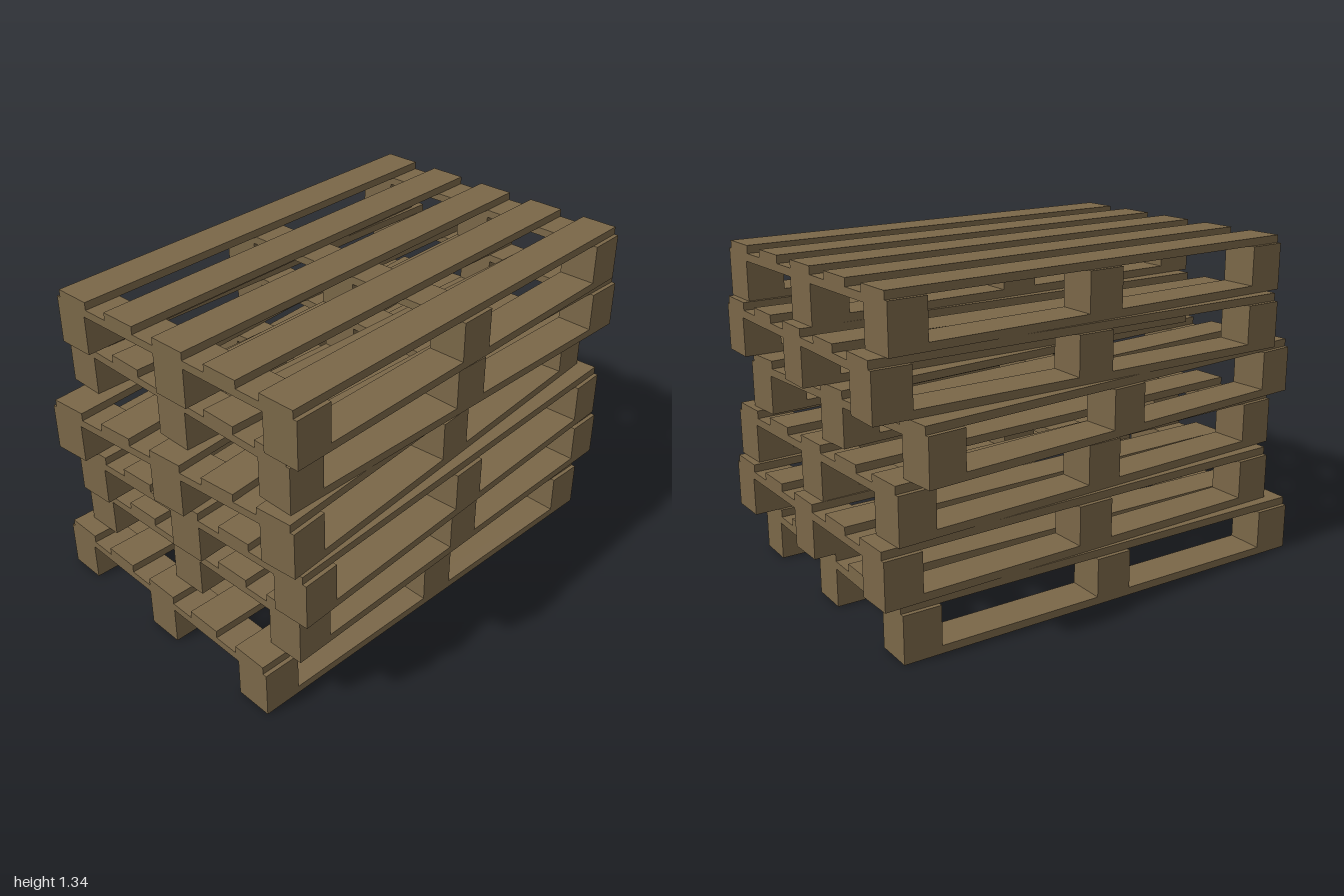
import * as THREE from 'three';

const wood = new THREE.MeshStandardMaterial({ color: 0x7a6748 });
wood.name = 'weathered wood';

const T = 0.0318;          // board thickness
const BLOCK = 0.155;       // block width and depth
const BLOCK_H = 4 * T;     // block height
const WIDTH = 1.23, LENGTH = 1.85;
const PALLET_H = 7 * T;

function box(parent, name, w, h, d, x, y, z) {
  const mesh = new THREE.Mesh(new THREE.BoxGeometry(w, h, d), wood);
  mesh.name = name;
  mesh.position.set(x, y + h / 2, z); // y is the underside
  parent.add(mesh);
}

function createPallet() {
  const pallet = new THREE.Group();
  const dx = (WIDTH - BLOCK) / 2, dz = (LENGTH - BLOCK) / 2;
  for (const i of [-1, 0, 1]) {
    box(pallet, 'bottomBoard', BLOCK, T, LENGTH, i * dx, 0, 0);
    box(pallet, 'crossBoard', WIDTH, T, BLOCK, 0, T + BLOCK_H, i * dz);
    for (const k of [-1, 0, 1]) {
      box(pallet, 'block', BLOCK, BLOCK_H, BLOCK, i * dx, T, k * dz);
    }
  }
  // five spaced deck boards
  for (let i = -2; i <= 2; i++) {
    box(pallet, 'deckBoard', 0.152, T, LENGTH, i * 0.261, 2 * T + BLOCK_H, 0);
  }
  return pallet;
}

export function createModel() {
  const stack = new THREE.Group();
  stack.name = 'palletStack';
  // x, z and turn of each pallet, from the ground up
  const placements = [
    [-0.018, 0.04, -0.051],
    [0.015, -0.05, -0.016],
    [0.047, -0.005, 0.016],
    [-0.012, 0.042, 0.051],
    [0.017, -0.05, -0.036],
    [0.046, -0.005, 0],
  ];
  placements.forEach(([x, z, turn], level) => {
    const pallet = createPallet();
    pallet.name = `pallet${level + 1}`;
    pallet.position.set(x, level * PALLET_H, z);
    pallet.rotation.y = turn;
    stack.add(pallet);
  });
  return stack;
}
